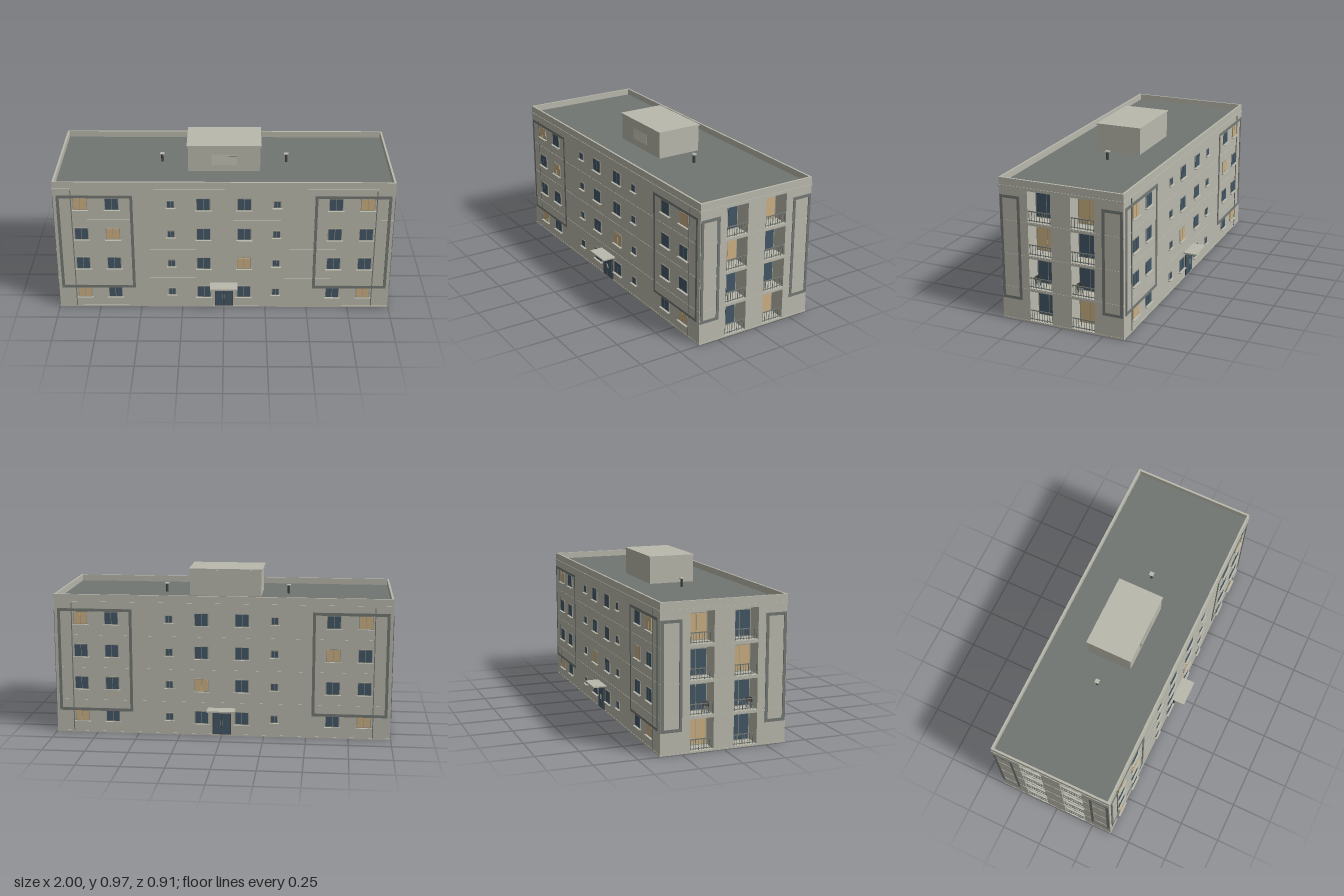
import * as THREE from 'three';

const mat = (name, color) => {
  const m = new THREE.MeshStandardMaterial({ color });
  m.name = name;
  return m;
};

export function createModel() {
  const wall = mat('wall plaster', 0xbab9ad);
  const grey = mat('panel grey', 0x747974);
  const roofGrey = mat('roof grey', 0x707673);
  const frame = mat('window frame', 0x9c9b91);
  const glass = mat('dark glass', 0x425766);
  const lit = mat('lit glass', 0xcbb082);
  const dark = mat('dark metal', 0x484844);

  const model = new THREE.Group();
  model.name = 'apartmentBlock';
  const group = (name, parent = model) => {
    const g = new THREE.Group();
    g.name = name;
    parent.add(g);
    return g;
  };
  const box = (parent, name, m, w, h, d, x, y, z) => {
    const mesh = new THREE.Mesh(new THREE.BoxGeometry(w, h, d), m);
    mesh.name = name;
    mesh.position.set(x, y, z);
    parent.add(mesh);
    return mesh;
  };

  const X = 0.996, Z = 0.373, ROOF = 0.8, DEPTH = 0.1;
  const STEP = 0.1975;
  const floorY = i => 0.01 + STEP * i;

  // Solid core between the two recessed end walls
  const body = group('body');
  box(body, 'core', wall, 2 * (X - DEPTH), ROOF, 2 * Z, 0, ROOF / 2, 0);

  // End walls pierced by balcony openings
  const endShape = new THREE.Shape([[-Z, 0], [Z, 0], [Z, ROOF], [-Z, ROOF]].map(p => new THREE.Vector2(...p)));
  for (let i = 0; i < 4; i++) for (const s of [-1, 1]) {
    const a = s * 0.13 - 0.07, b = s * 0.13 + 0.07, y0 = floorY(i), y1 = y0 + 0.179;
    endShape.holes.push(new THREE.Path([[a, y0], [a, y1], [b, y1], [b, y0]].map(p => new THREE.Vector2(...p))));
  }
  const endGeo = new THREE.ExtrudeGeometry(endShape, { depth: DEPTH, bevelEnabled: false });
  endGeo.rotateY(Math.PI / 2);
  for (const s of [-1, 1]) {
    const end = new THREE.Mesh(endGeo, wall);
    end.name = 'endWall';
    end.position.x = s > 0 ? X - DEPTH : -X;
    body.add(end);
  }

  // Floor bands, plinth and cornice
  for (let i = 1; i < 4; i++) box(body, 'floorBand', wall, 2 * X + 0.004, 0.009, 2 * Z + 0.004, 0, floorY(i) - 0.009, 0);
  box(body, 'plinth', wall, 2 * X + 0.004, 0.009, 2 * Z + 0.004, 0, 0.0045, 0);
  box(body, 'cornice', wall, 2 * X + 0.006, 0.01, 2 * Z + 0.006, 0, 0.795, 0);

  // Flat roof with parapet
  const roof = group('roof');
  box(roof, 'roofDeck', roofGrey, 2 * X - 0.02, 0.004, 2 * Z - 0.02, 0, ROOF + 0.002, 0);
  for (const s of [-1, 1]) {
    box(roof, 'parapetLong', wall, 2 * X, 0.042, 0.012, 0, 0.821, s * (Z - 0.006));
    box(roof, 'parapetShort', wall, 0.012, 0.042, 2 * Z - 0.024, s * (X - 0.006), 0.821, 0);
  }

  // Rooftop plant room with louvre
  box(roof, 'plantRoom', wall, 0.43, 0.16, 0.274, 0, 0.88, 0);
  box(roof, 'plantRoomCap', wall, 0.444, 0.008, 0.284, 0, 0.965, 0);
  for (let i = 0; i < 7; i++) {
    box(roof, 'louvreBlade', frame, 0.15, 0.009, 0.004, 0, 0.85 + i * 0.0095, 0.139).rotation.x = -0.6;
  }

  // Vent pipes
  for (const s of [-1, 1]) {
    const pipe = new THREE.Mesh(new THREE.CylinderGeometry(0.008, 0.008, 0.052, 10), dark);
    pipe.name = 'ventPipe';
    pipe.position.set(s * 0.375, 0.826, 0);
    roof.add(pipe);
    box(roof, 'ventCap', wall, 0.026, 0.006, 0.026, s * 0.375, 0.855, 0);
  }

  // Two-pane window with sill, on the front (s = 1) or back (s = -1)
  const addWindow = (parent, x, y, w, h, s, m) => {
    const g = group('window', parent);
    box(g, 'windowFrame', frame, w, h, 0.006, x, y, s * (Z + 0.001));
    const pw = w / 2 - 0.006;
    for (const k of [-1, 1]) {
      box(g, 'pane', m, pw, h - 0.008, 0.003, x + k * (pw / 2 + 0.0015), y, s * (Z + 0.004));
    }
    box(g, 'sill', wall, w + 0.012, 0.005, 0.018, x, y - h / 2 - 0.003, s * (Z + 0.008));
  };

  // Rectangular trim made of four flat bars; axis 'x' lies along the facade, 'z' along the end wall
  const addTrim = (parent, axis, c, y0, y1, w, offset) => {
    const t = 0.017, d = 0.004, h = y1 - y0, yc = (y0 + y1) / 2;
    const bar = (bw, bh, u, y) => axis === 'x'
      ? box(parent, 'trimBar', grey, bw, bh, d, u, y, offset)
      : box(parent, 'trimBar', grey, d, bh, bw, offset, y, u);
    for (const k of [-1, 1]) {
      bar(t, h, c + k * (w - t) / 2, yc);
      bar(w - 2 * t, t, c, yc + k * (h - t) / 2);
    }
  };

  // Long facades
  const litWindows = ['0:-0.84', '0:0.84', '1:0.12', '2:-0.655', '3:-0.84', '3:0.84'];
  for (const s of [-1, 1]) {
    const facade = group(s > 0 ? 'frontFacade' : 'backFacade');
    for (let i = 0; i < 4; i++) {
      const y = 0.11 + STEP * i;
      for (const x of [-0.84, -0.655, -0.12, 0.12, 0.655, 0.84]) {
        addWindow(facade, x, y, 0.084, 0.078, s, litWindows.includes(`${i}:${x}`) ? lit : glass);
      }
      for (const x of [-0.312, 0.312]) addWindow(facade, x, y, 0.046, 0.046, s, glass);
    }
    for (const k of [-1, 1]) {
      addTrim(facade, 'x', k * 0.755, 0.135, 0.758, 0.445, s * (Z + 0.004));
      box(facade, 'downpipe', grey, 0.005, 0.78, 0.006, k * 0.893, 0.4, s * (Z + 0.002));
    }
    // Entrance door and canopy
    const entrance = group('entrance', facade);
    box(entrance, 'doorFrame', dark, 0.11, 0.148, 0.008, 0, 0.083, s * (Z + 0.002));
    for (const k of [-1, 1]) {
      box(entrance, 'doorLeaf', glass, 0.047, 0.138, 0.003, k * 0.026, 0.082, s * (Z + 0.006));
      box(entrance, 'doorHandle', frame, 0.003, 0.03, 0.004, k * 0.006, 0.08, s * (Z + 0.009));
    }
    box(entrance, 'canopy', wall, 0.165, 0.009, 0.083, 0, 0.166, s * (Z + 0.0415));
  }

  // Ends: trim panels, balcony glazing, railings and chairs
  const litBalconies = ['0:-1', '2:1', '3:-1'];
  for (const s of [-1, 1]) {
    const end = group(s > 0 ? 'leftEnd' : 'rightEnd');
    const back = X - DEPTH;
    for (const k of [-1, 1]) {
      addTrim(end, 'z', k * 0.308, 0.128, 0.745, 0.123, s * (X + 0.002));
      for (let i = 0; i < 4; i++) {
        const b = group('balcony', end), y = floorY(i), z = k * 0.13;
        const m = litBalconies.includes(`${i}:${k}`) ? lit : glass;
        box(b, 'glazingFrame', frame, 0.008, 0.154, 0.136, s * (back + 0.002), y + 0.077, z);
        for (const j of [-1, 1]) {
          box(b, 'glazing', m, 0.003, 0.144, 0.06, s * (back + 0.006), y + 0.077, z + j * 0.032);
        }
        box(b, 'ceilingLamp', dark, 0.014, 0.004, 0.014, s * (back + 0.05), y + 0.177, z);
        // Railing
        const rx = s * (X - 0.006);
        box(b, 'topRail', grey, 0.005, 0.005, 0.14, rx, y + 0.063, z);
        box(b, 'bottomRail', grey, 0.004, 0.004, 0.14, rx, y + 0.01, z);
        for (let n = 0; n < 9; n++) {
          box(b, 'baluster', grey, 0.0025, 0.06, 0.0025, rx, y + 0.032, z - 0.064 + n * 0.016);
        }
        // Chair on the second storey
        if (i === 1) {
          const cx = s * (back + 0.055), cz = z + 0.042;
          box(b, 'chairSeat', grey, 0.026, 0.005, 0.026, cx, y + 0.03, cz);
          box(b, 'chairBack', dark, 0.026, 0.03, 0.004, cx, y + 0.045, cz + 0.011);
          box(b, 'chairBackRest', dark, 0.004, 0.03, 0.026, cx - s * 0.011, y + 0.045, cz);
          for (const p of [-1, 1]) for (const q of [-1, 1]) {
            box(b, 'chairLeg', grey, 0.004, 0.03, 0.004, cx + p * 0.011, y + 0.015, cz + q * 0.011);
          }
        }
      }
    }
  }
  return model;
}
